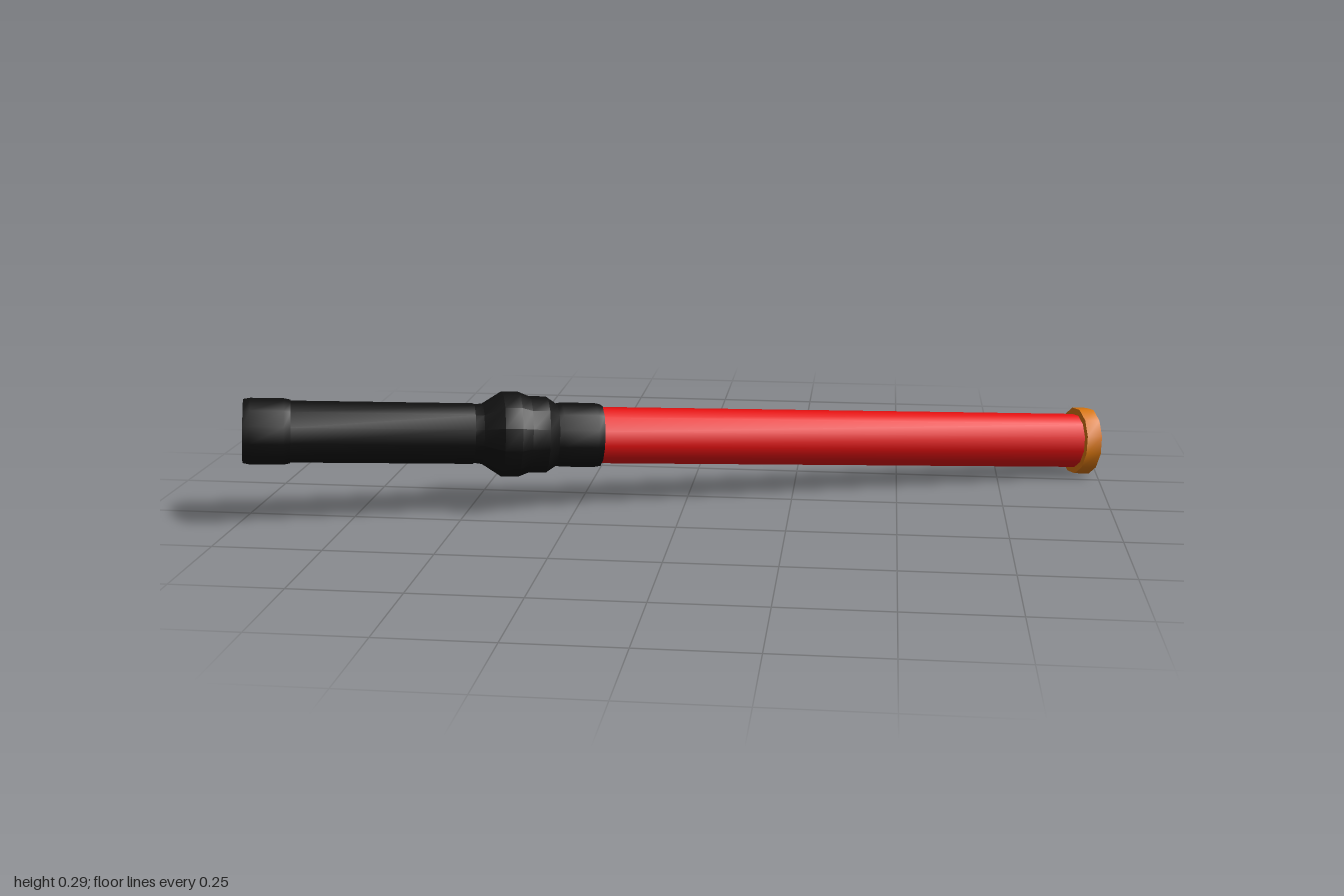
import * as THREE from 'three';
import { toCreasedNormals } from 'three/addons/utils/BufferGeometryUtils.js';

const SIDES = 12;

// Turned part: [radius, distance along the baton] pairs, closed at both ends
function turned(name, color, profile) {
  const first = profile[0], last = profile[profile.length - 1];
  const points = [[0, first[1]], ...profile, [0, last[1]]].map(([r, t]) => new THREE.Vector2(r, t));
  const geometry = toCreasedNormals(new THREE.LatheGeometry(points, SIDES), 0.56);
  const mesh = new THREE.Mesh(geometry, new THREE.MeshStandardMaterial({ color }));
  mesh.name = name;
  return mesh;
}

export function createModel() {
  const black = 0x111111, red = 0xe81212, orange = 0xd9760f;
  const baton = new THREE.Group();
  baton.name = 'baton';
  baton.add(
    // Grip with a slightly wider end cap
    turned('gripEndCap', black, [[0.073, 0], [0.076, 0.015], [0.076, 0.09], [0.073, 0.105]]),
    turned('grip', black, [[0.071, 0.1], [0.071, 0.52]]),
    // Swollen switch housing, stepped down to the collar
    turned('switchHousing', black, [[0.066, 0.5], [0.071, 0.54], [0.1, 0.585], [0.1, 0.625], [0.09, 0.65], [0.09, 0.69], [0.073, 0.715]]),
    turned('collar', black, [[0.071, 0.7], [0.076, 0.725], [0.076, 0.805], [0.073, 0.82]]),
    // Light tube and tip
    turned('lightTube', red, [[0.067, 0.8], [0.067, 2.03]]),
    turned('tipCap', orange, [[0.083, 2.025], [0.083, 2.063]])
  );

  // Lay the baton along its slanted axis, one corner of its section upward
  const start = new THREE.Vector3(-0.977, 0.222, 0.327);
  const end = new THREE.Vector3(0.974, 0.085, -0.323);
  const along = end.clone().sub(start).normalize();
  const up = new THREE.Vector3(0, 1, 0).addScaledVector(along, -along.y).normalize();
  const side = up.clone().cross(along);
  baton.quaternion.setFromRotationMatrix(new THREE.Matrix4().makeBasis(up, along, side));
  baton.rotateY(0.16);
  baton.position.copy(start);

  const model = new THREE.Group();
  model.name = 'lightBaton';
  model.add(baton);
  return model;
}
